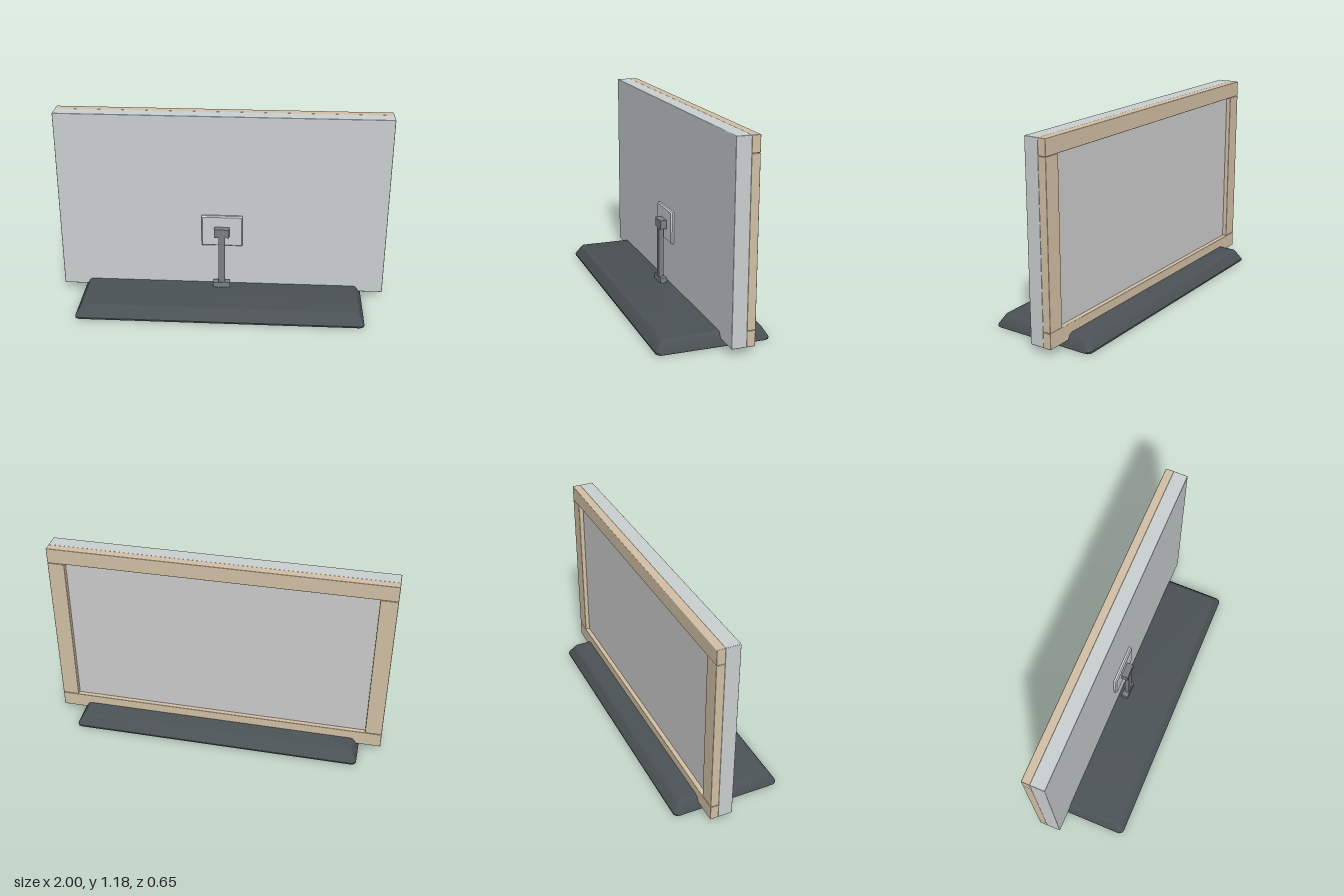
import * as THREE from 'three';
import { RoundedBoxGeometry } from 'three/addons/geometries/RoundedBoxGeometry.js';
import { toCreasedNormals } from 'three/addons/utils/BufferGeometryUtils.js';

const material = (color) => new THREE.MeshStandardMaterial({ color });
const casing = material(0xcacfd0);
const wood = material(0xd2c0a5);
const dark = material(0x4b5255);
const metal = material(0x7c8081);
const grey = material(0xcccccc);

// Box given by its minimum and maximum corners, optionally with rounded edges
function box(name, mat, [x0, y0, z0], [x1, y1, z1], radius = 0) {
  const size = [x1 - x0, y1 - y0, z1 - z0];
  const geometry = radius
    ? new RoundedBoxGeometry(...size, 2, radius)
    : new THREE.BoxGeometry(...size);
  const mesh = new THREE.Mesh(geometry, mat);
  mesh.name = name;
  mesh.position.set((x0 + x1) / 2, (y0 + y1) / 2, (z0 + z1) / 2);
  return mesh;
}

// Stack of rounded rectangles, each [height, halfWidth, halfDepth, cornerRadius], capped at both ends
function loft(name, mat, sections, steps = 5) {
  const positions = [];
  const index = [];
  const count = 4 * (steps + 1);
  for (const [y, hx, hz, r] of sections) {
    for (let corner = 0; corner < 4; corner++) {
      const sx = corner === 0 || corner === 3 ? 1 : -1;
      const sz = corner < 2 ? 1 : -1;
      for (let i = 0; i <= steps; i++) {
        const a = (corner + i / steps) * Math.PI / 2;
        positions.push(sx * (hx - r) + r * Math.cos(a), y, sz * (hz - r) + r * Math.sin(a));
      }
    }
  }
  for (let s = 0; s < sections.length - 1; s++) {
    for (let i = 0; i < count; i++) {
      const a = s * count + i;
      const b = s * count + (i + 1) % count;
      index.push(a, a + count, b, b, a + count, b + count);
    }
  }
  const top = (sections.length - 1) * count;
  for (let i = 1; i < count - 1; i++) {
    index.push(0, i, i + 1, top, top + i + 1, top + i);
  }
  const geometry = new THREE.BufferGeometry();
  geometry.setAttribute('position', new THREE.Float32BufferAttribute(positions, 3));
  geometry.setIndex(index);
  const mesh = new THREE.Mesh(toCreasedNormals(geometry, 0.6), mat);
  mesh.name = name;
  return mesh;
}

export function createModel() {
  const model = new THREE.Group();
  model.name = 'framedScreenOnStand';

  // Sloping base with softened edges
  model.add(loft('base', dark, [
    [0, 0.862, 0.32, 0.025],
    [0.004, 0.869, 0.326, 0.03],
    [0.014, 0.869, 0.327, 0.03],
    [0.066, 0.84, 0.296, 0.03],
    [0.075, 0.832, 0.288, 0.025],
    [0.079, 0.82, 0.276, 0.02],
  ]));

  // Casing and the display surface set inside the frame
  model.add(box('casing', casing, [-1, 0.042, -0.127], [1, 1.18, -0.04], 0.004));
  model.add(box('screen', grey, [-0.91, 0.125, -0.148], [0.91, 1.095, -0.12]));

  // Frame of four bars
  const frame = new THREE.Group();
  frame.name = 'frame';
  const back = -0.175;
  const front = -0.125;
  frame.add(box('topBar', wood, [-1, 1.086, back], [1, 1.18, front], 0.004));
  frame.add(box('bottomBar', wood, [-1, 0.042, back], [1, 0.134, front], 0.004));
  for (const side of [-1, 1]) {
    const bar = box(side > 0 ? 'leftBar' : 'rightBar', wood,
      [-0.05, 0.135, back], [0.05, 1.085, front], 0.004);
    bar.position.x = side * 0.95;
    frame.add(bar);
  }
  model.add(frame);

  // Mounting plate, bevelled toward the front
  const plate = loft('mountingPlate', casing, [
    [0, 0.125, 0.1, 0.003],
    [0.013, 0.125, 0.1, 0.003],
    [0.021, 0.119, 0.093, 0.003],
  ], 2);
  plate.rotation.x = Math.PI / 2;
  plate.position.set(0, 0.446, -0.041);
  model.add(plate);

  // Post with its foot and head blocks
  const stand = new THREE.Group();
  stand.name = 'stand';
  stand.add(box('foot', metal, [-0.052, 0.075, -0.02], [0.052, 0.111, 0.022]));
  stand.add(box('post', metal, [-0.02, 0.1, -0.01], [0.02, 0.43, 0.018]));
  stand.add(box('head', metal, [-0.046, 0.421, -0.022], [0.046, 0.475, 0.02]));
  model.add(stand);

  return model;
}
